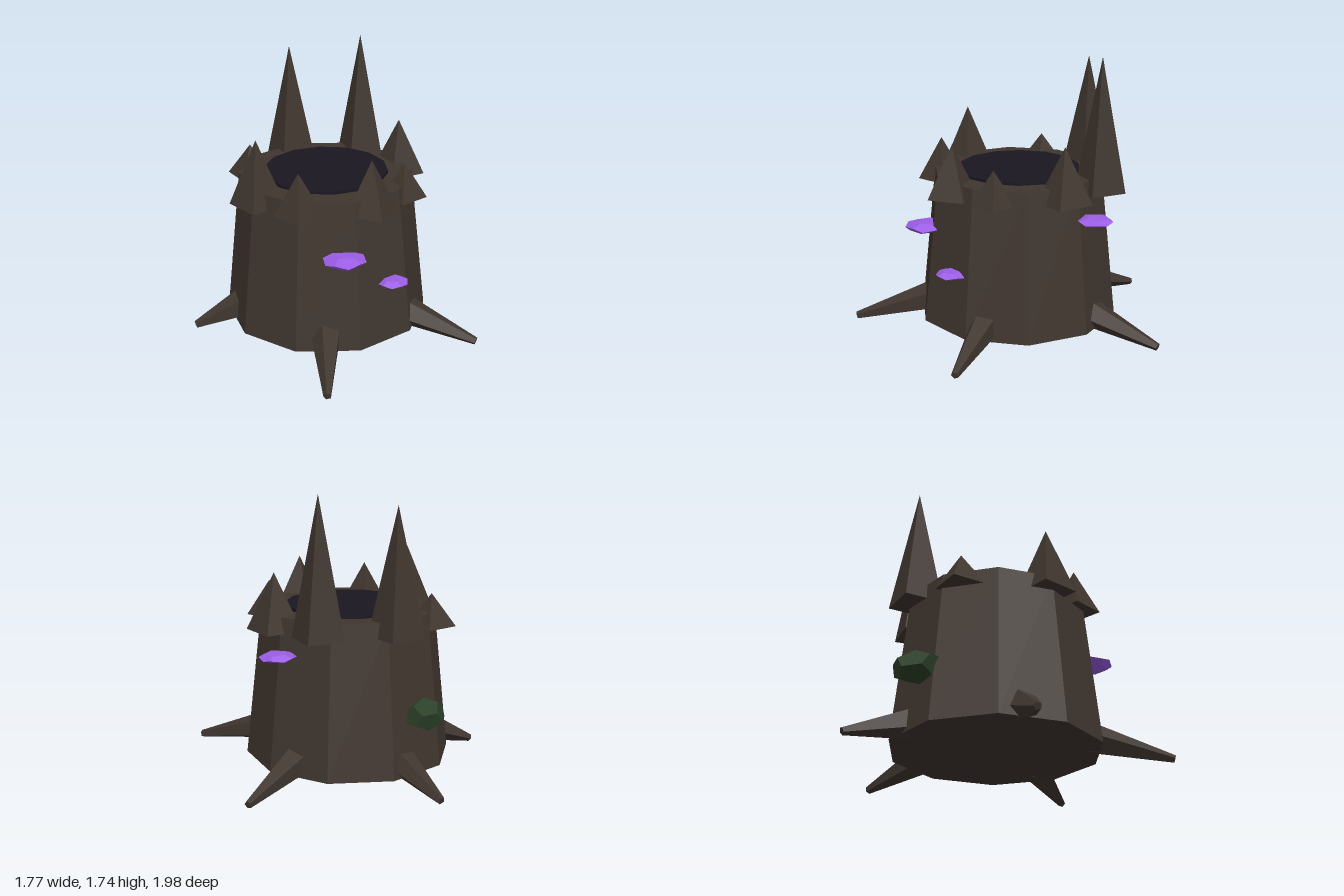
import * as THREE from 'three';

const mat = (color) => new THREE.MeshStandardMaterial({ color, flatShading: true });

export function createModel() {
  const model = new THREE.Group();
  const bark = mat(0x40362f);
  const hollowMat = mat(0x1a1620);
  const fungusMat = mat(0x9b5de5);
  const mossMat = mat(0x2b4028);
  const CX = -0.147, CZ = -0.01; // trunk axis

  const add = (name, geometry, material, x, y, z) => {
    const mesh = new THREE.Mesh(geometry, material);
    mesh.name = name;
    mesh.position.set(x, y, z);
    model.add(mesh);
    return mesh;
  };

  // ten-sided tapering stump
  const trunk = add('trunk', new THREE.CylinderGeometry(0.54, 0.64, 0.935, 10), bark, CX, 0.527, CZ);
  trunk.rotation.y = 0.035;

  // dark hollow on top
  add('hollow', new THREE.CylinderGeometry(0.39, 0.39, 0.04, 14), hollowMat, CX, 0.992, -0.02);

  // four-sided splinters round the rim: apex x, y, z, radius, turn
  const splinters = [
    [-0.67, 1.10, -0.05, 0.15, 0.1],
    [-0.52, 1.67, -0.39, 0.17, 0.05],
    [-0.44, 1.31, 0.40, 0.17, 0.25],
    [-0.14, 1.17, 0.49, 0.15, 0.35],
    [-0.09, 1.74, -0.55, 0.165, -0.1],
    [0.22, 1.25, -0.39, 0.17, 0.05],
    [0.25, 1.23, 0.30, 0.165, 0.7],
    [0.37, 1.12, 0.01, 0.14, 0.25],
  ];
  const baseY = 0.9;
  for (const [x, y, z, r, turn] of splinters) {
    const h = y - baseY;
    const splinter = add('splinter', new THREE.ConeGeometry(r, h, 4), bark, x, baseY + h / 2, z);
    splinter.rotation.y = turn;
  }

  // roots running from the trunk down to their tips on the ground
  const up = new THREE.Vector3(0, 1, 0);
  const tips = [[0.88, 0.11], [0.2, 0.98], [-0.87, 0.46], [-0.84, -0.66], [0.21, -0.98]];
  for (const [x, z] of tips) {
    const tip = new THREE.Vector3(x, 0.025, z);
    const out = new THREE.Vector3(x - CX, 0, z).normalize();
    const start = new THREE.Vector3(CX, 0.15, 0).addScaledVector(out, 0.53);
    const dir = tip.clone().sub(start);
    const mid = start.clone().add(tip).multiplyScalar(0.5);
    const root = add('root', new THREE.CylinderGeometry(0.024, 0.1, dir.length(), 5), bark, mid.x, mid.y, mid.z);
    root.quaternion.setFromUnitVectors(up, dir.normalize());
  }

  // flat shelf fungi: x, y, z, radius
  const fungi = [
    [0.15, 0.665, 0.51, 0.132],
    [0.38, 0.447, 0.275, 0.098],
    [0.15, 0.785, -0.565, 0.112],
  ];
  fungi.forEach(([x, y, z, r], i) => {
    const g = new THREE.DodecahedronGeometry(r);
    g.rotateX(0.35 + i * 0.2).rotateY(0.5 + i).scale(1, 0.27, 1);
    add('shelfFungus', g, fungusMat, x, y, z);
  });

  // moss clump on the right side
  const moss = new THREE.DodecahedronGeometry(0.17);
  moss.rotateZ(0.3).scale(0.75, 0.58, 1);
  add('mossClump', moss, mossMat, -0.675, 0.415, -0.285);

  return model;
}
